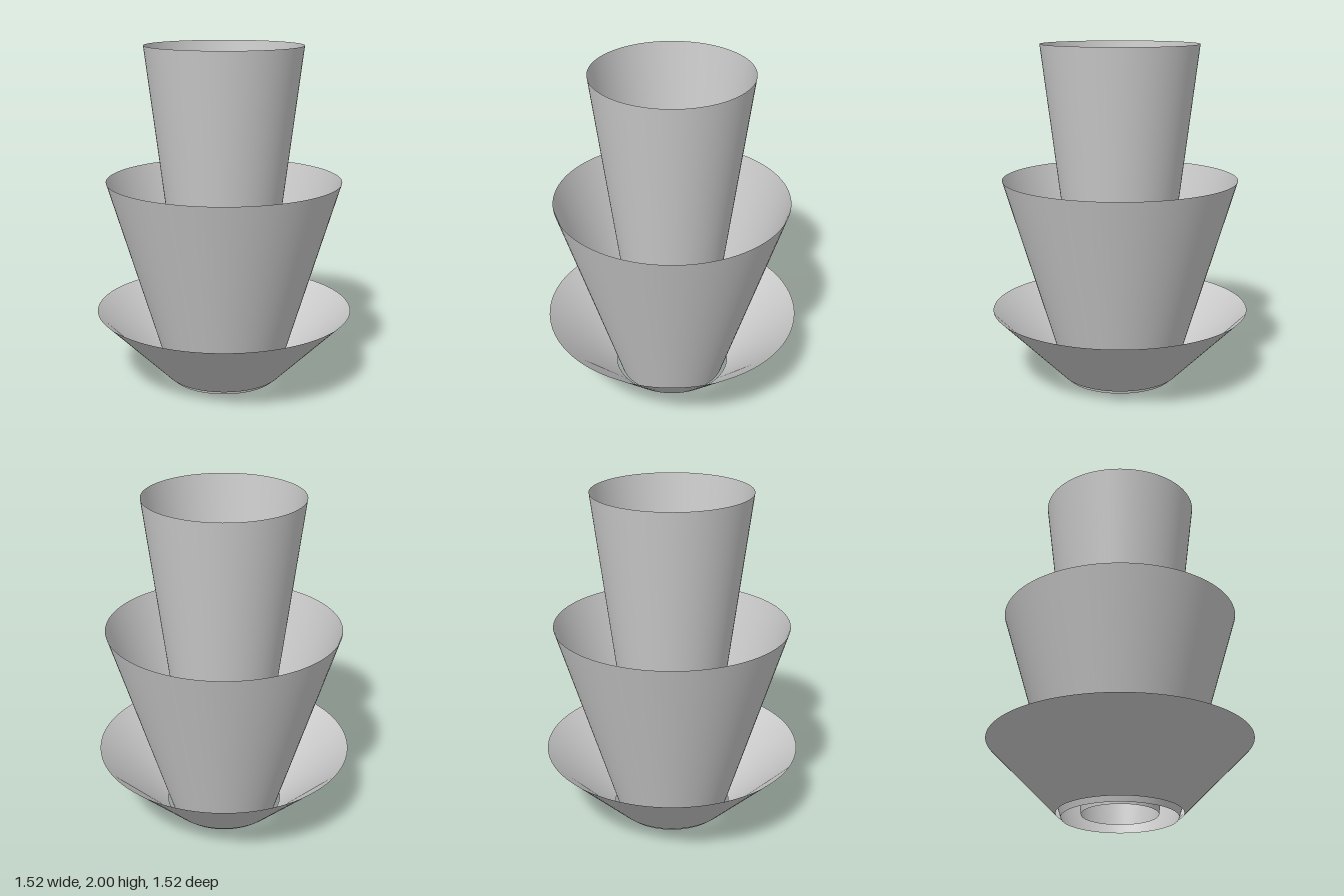
import * as THREE from 'three';

// Thin open cone wall running from its bottom rim to its top rim
function openCone(name, bottomRadius, bottomY, topRadius, topY, material) {
  const profile = [
    new THREE.Vector2(bottomRadius, bottomY),
    new THREE.Vector2(topRadius, topY),
  ];
  const mesh = new THREE.Mesh(new THREE.LatheGeometry(profile, 96), material);
  mesh.name = name;
  return mesh;
}

export function createModel() {
  const group = new THREE.Group();
  group.name = 'nestedCones';
  const material = new THREE.MeshStandardMaterial({ color: 0xcccccc, side: THREE.DoubleSide });

  // Three nested open cones, from the wide low dish to the tall inner funnel
  group.add(
    openCone('lowerDish', 0.355, 0.025, 0.762, 0.435, material),
    openCone('middleCone', 0.327, 0, 0.692, 1.218, material),
    openCone('upperFunnel', 0.216, 0.02, 0.46, 2, material),
  );
  return group;
}
